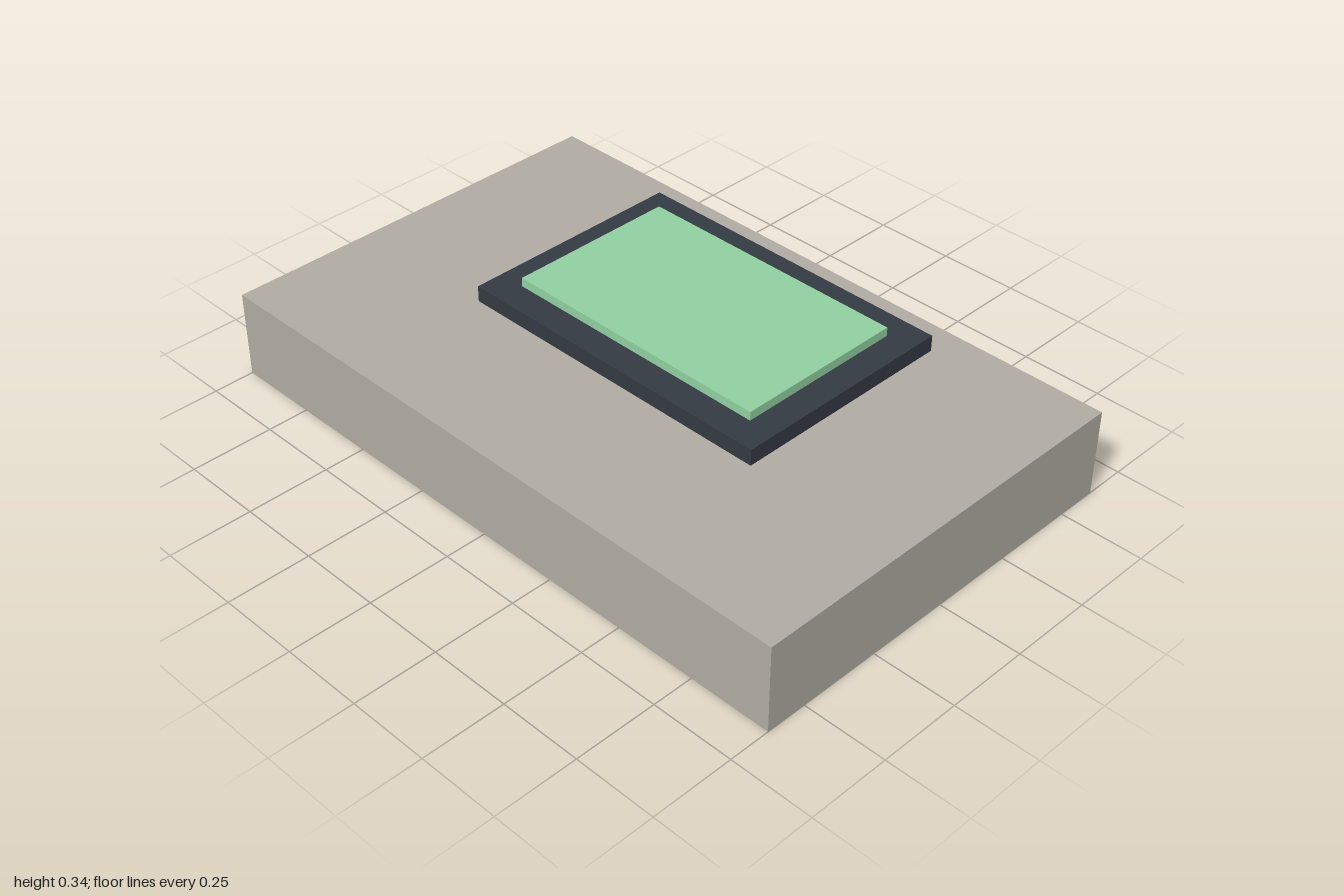
import * as THREE from 'three';

export function createModel() {
  const group = new THREE.Group();

  // Adds a box spanning the given height range, centred on x and offset in z
  const addSlab = (name, color, width, depth, bottom, top, z) => {
    const mesh = new THREE.Mesh(
      new THREE.BoxGeometry(width, top - bottom, depth),
      new THREE.MeshStandardMaterial({ color })
    );
    mesh.name = name;
    mesh.position.set(0, (bottom + top) / 2, z);
    group.add(mesh);
  };

  // Body block, then the dark frame and the raised screen, set towards the back
  addSlab('body', 0xb0aca2, 2, 1.25, 0, 0.266, 0);
  addSlab('screenFrame', 0x343a42, 1.03, 0.703, 0.266, 0.315, -0.173);
  addSlab('screen', 0x90d0a0, 0.86, 0.53, 0.315, 0.342, -0.173);

  return group;
}
